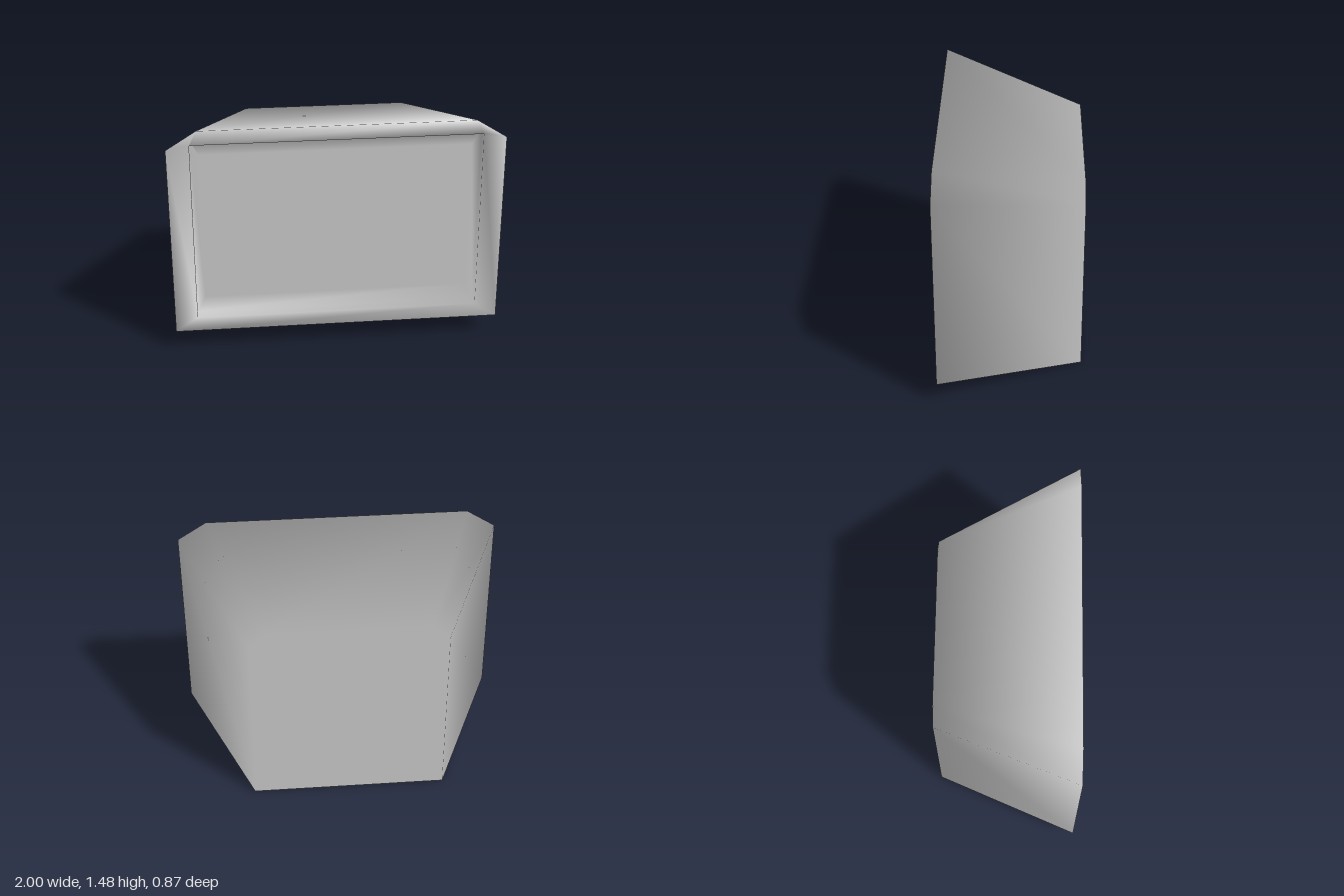
import * as THREE from 'three';

const material = new THREE.MeshStandardMaterial({ color: 0xcccccc });

// Outward direction of each ring corner, used to round the shading
const outward = [[-1, -0.8], [1, -0.8], [1, 0.4], [0.4, 1], [-0.4, 1], [-1, 0.4]];

// Rectangle with chamfered top corners, counter-clockwise seen from the front.
// Its normals lean outward by `lean` from the axis direction `facing`.
function ring(z, w, bottom, top, chamferX, chamferY, lean, facing) {
  const points = [
    [-w, bottom], [w, bottom], [w, top - chamferY],
    [w - chamferX, top], [chamferX - w, top], [-w, top - chamferY],
  ].map(([x, y]) => [x, y, z]);
  const normals = outward.map(([x, y]) =>
    new THREE.Vector3(x * lean, y * lean, facing).normalize().toArray());
  return { points, normals };
}

// Skin a list of rings running from back to front, with optional end caps
function loft(rings, capStart, capEnd) {
  const n = outward.length, index = [];
  for (let r = 0; r < rings.length - 1; r++) {
    for (let i = 0; i < n; i++) {
      const j = (i + 1) % n;
      const a = r * n + i, b = r * n + j;
      index.push(a, b, b + n, a, b + n, a + n);
    }
  }
  const last = (rings.length - 1) * n;
  for (let i = 1; i < n - 1; i++) {
    if (capStart) index.push(0, i + 1, i);
    if (capEnd) index.push(last, last + i, last + i + 1);
  }
  const attribute = (key) =>
    new THREE.Float32BufferAttribute(rings.flatMap((r) => r[key]).flat(), 3);
  const geometry = new THREE.BufferGeometry();
  geometry.setAttribute('position', attribute('points'));
  geometry.setAttribute('normal', attribute('normals'));
  geometry.setIndex(index);
  return geometry;
}

export function createModel() {
  const group = new THREE.Group();
  const add = (name, geometry) => {
    const mesh = new THREE.Mesh(geometry, material);
    mesh.name = name;
    group.add(mesh);
  };

  const back = -0.435, front = 0.435;
  const screenEdge = ring(0.35, 0.81, 0.32, 1.285, 0, 0, 0, 1);

  // Tapered housing, front bezel and the recess around the screen
  add('casing', loft([
    ring(back, 0.6, 0, 1.235, 0.1, 0.095, 0, -1),
    ring(front, 1, 0.13, 1.475, 0.18, 0.115, 0.6, 1),
    ring(front, 0.862, 0.222, 1.385, 0, 0, -0.5, 1),
    ring(0.36, 0.862, 0.222, 1.385, 0, 0, -0.6, 1),
    screenEdge,
  ], true, false));

  // Flat recessed screen
  add('screen', loft([screenEdge], false, true));

  return group;
}
